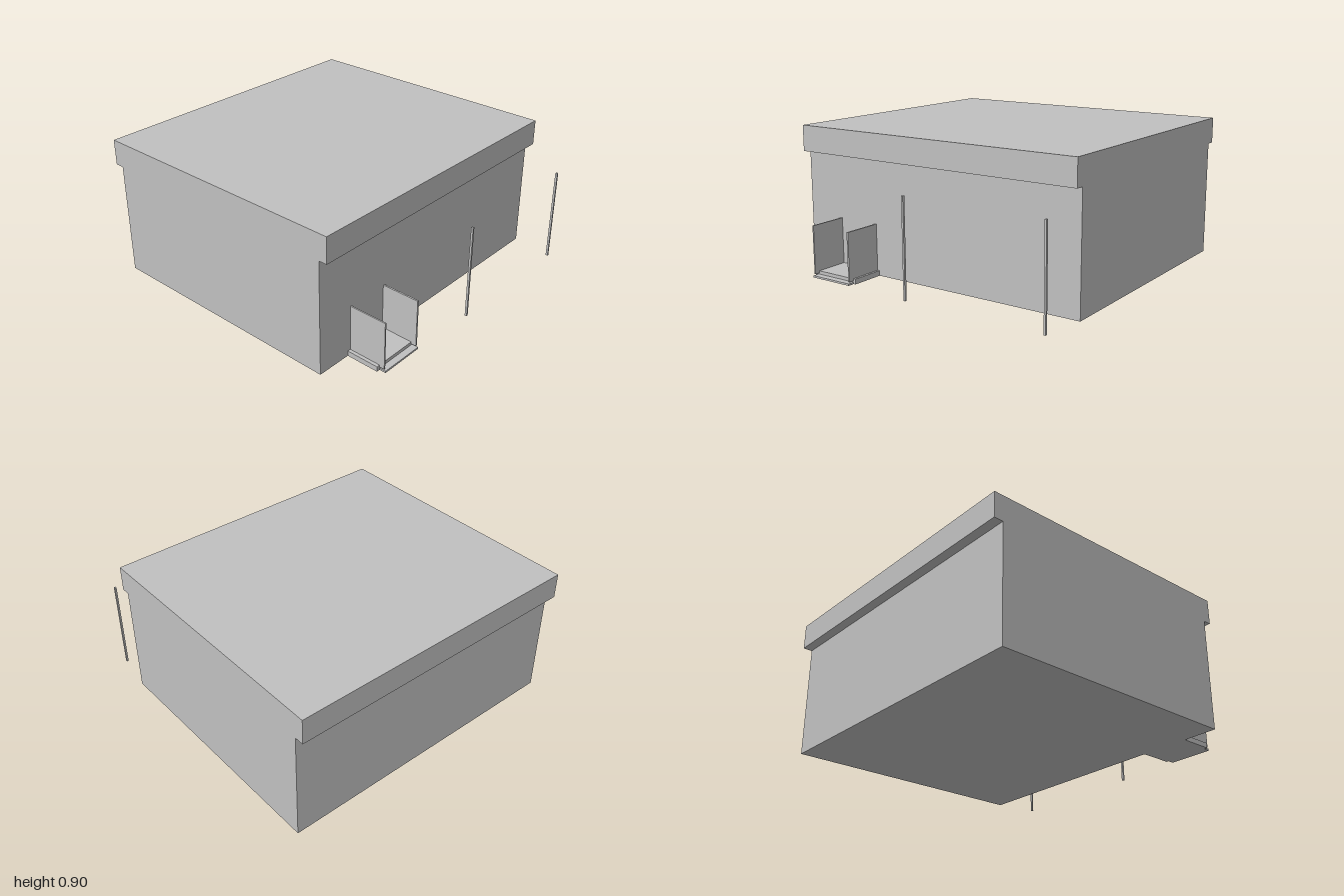
import * as THREE from 'three';

export function createModel() {
  const model = new THREE.Group();
  model.name = 'building';
  const grey = new THREE.MeshStandardMaterial({ color: 0xc0c0c0 });
  grey.name = 'light grey';

  // Box given by its lower and upper limits on each axis
  function box(name, [x0, x1], [y0, y1], [z0, z1], parent = model) {
    const mesh = new THREE.Mesh(new THREE.BoxGeometry(x1 - x0, y1 - y0, z1 - z0), grey);
    mesh.position.set((x0 + x1) / 2, (y0 + y1) / 2, (z0 + z1) / 2);
    mesh.name = name;
    parent.add(mesh);
  }

  // Main block and the thick roof overhanging front and back
  box('walls', [-0.995, 0.993], [0, 0.735], [-0.94, 0.72]);
  box('roof', [-0.995, 0.993], [0.735, 0.9], [-1, 0.775]);

  // Entrance: step, low threshold and two side screens
  const entrance = new THREE.Group();
  entrance.name = 'entrance';
  model.add(entrance);
  box('step', [-0.767, -0.435], [0, 0.033], [0.72, 0.935], entrance);
  box('threshold', [-0.745, -0.45], [0, 0.012], [0.72, 0.978], entrance);
  box('rightScreen', [-0.745, -0.736], [0.02, 0.327], [0.72, 0.968], entrance);
  box('leftScreen', [-0.461, -0.45], [0.02, 0.327], [0.72, 0.968], entrance);

  // Free-standing posts in front
  for (const x of [0.005, 0.945]) {
    box('post', [x - 0.006, x + 0.006], [0, 0.613], [0.986, 1]);
  }
  return model;
}
